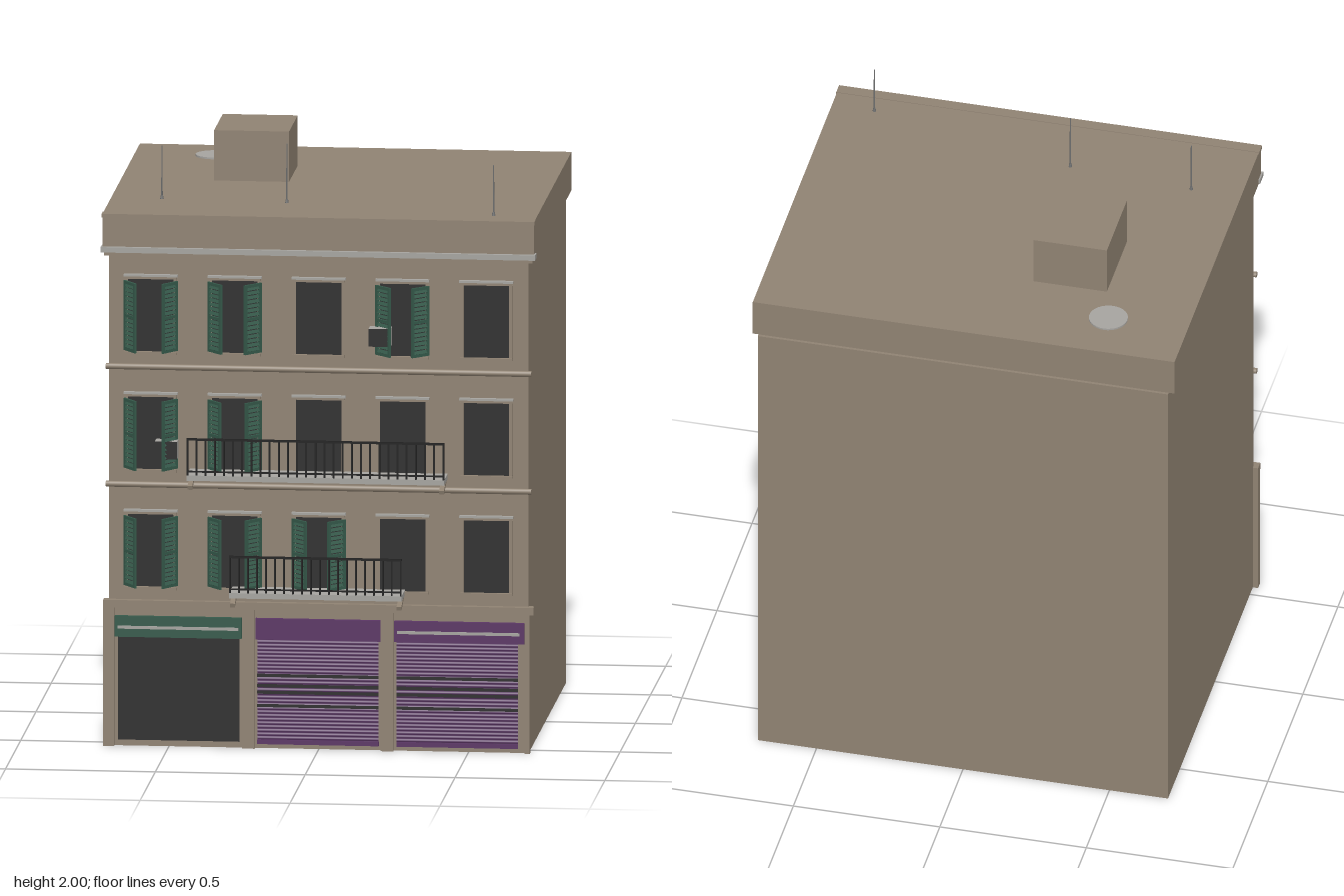
import * as THREE from 'three';

const mat = (name, color) => {
  const m = new THREE.MeshStandardMaterial({ color });
  m.name = name;
  return m;
};

export function createModel() {
  const building = new THREE.Group();
  building.name = 'apartmentBuilding';
  const wall = mat('wall plaster', 0x8f8272);
  const stone = mat('pale stone', 0xa5a39f);
  const dark = mat('dark glass', 0x2c2c2c);
  const green = mat('shutter green', 0x35594a);
  const purple = mat('roller purple', 0x5a3564);
  const iron = mat('black iron', 0x1c1c1c);
  const steel = mat('grey steel', 0x6f7070);

  const add = (parent, name, geometry, material) => {
    const m = new THREE.Mesh(geometry, material);
    m.name = name;
    parent.add(m);
    return m;
  };
  // Box given by its limits on each axis
  const box = (parent, name, material, x0, x1, y0, y1, z0, z1) => {
    const m = add(parent, name, new THREE.BoxGeometry(x1 - x0, y1 - y0, z1 - z0), material);
    m.position.set((x0 + x1) / 2, (y0 + y1) / 2, (z0 + z1) / 2);
    return m;
  };
  const group = (name, parent = building) => {
    const g = new THREE.Group();
    g.name = name;
    parent.add(g);
    return g;
  };
  const F = 0.55; // plane of the front wall

  // Main masses
  box(building, 'body', wall, -0.7, 0.7, 0, 1.67, -0.67, F);
  box(building, 'parapet', wall, -0.72, 0.72, 1.67, 1.8, -0.66, 0.57);
  box(building, 'parapetCap', wall, -0.722, 0.722, 1.79, 1.802, 0.54, 0.58);
  box(building, 'cornice', stone, -0.725, 0.725, 1.672, 1.69, 0.54, 0.585);
  box(building, 'corniceUnderside', wall, -0.715, 0.715, 1.66, 1.672, 0.54, 0.572);
  box(building, 'shopCornice', wall, -0.718, 0.718, 0.47, 0.495, 0.54, 0.572);

  // Rounded string courses between floors
  for (const y of [0.885, 1.283]) {
    const band = add(building, 'stringCourse', new THREE.CylinderGeometry(0.01, 0.01, 1.42, 10), wall);
    band.rotation.z = Math.PI / 2;
    band.position.set(0, y, F + 0.006);
  }

  // Ground floor shops
  for (const [x0, x1] of [[-0.718, -0.682], [-0.255, -0.213], [0.207, 0.25], [0.688, 0.705]])
    box(building, 'pilaster', wall, x0, x1, 0, 0.47, 0.54, 0.567);

  const shop = group('shopEntrance');
  box(shop, 'shopOpening', dark, -0.67, -0.265, 0.02, 0.37, 0.545, 0.553);
  box(shop, 'awningBox', green, -0.68, -0.257, 0.37, 0.44, 0.545, 0.567);
  box(shop, 'awningStripe', stone, -0.67, -0.267, 0.398, 0.408, 0.566, 0.57);

  const rollerShutter = (x0, x1, b0, b1, striped) => {
    const g = group('rollerShutter');
    const w = x1 - x0, h = 0.35;
    const sheet = new THREE.PlaneGeometry(w, h, 1, 112);
    const p = sheet.attributes.position;
    for (let i = 0; i < p.count; i++)
      p.setZ(i, 0.002 * Math.sin((p.getY(i) / h) * 28 * Math.PI * 2));
    sheet.computeVertexNormals();
    add(g, 'corrugatedSheet', sheet, purple).position.set((x0 + x1) / 2, 0.195, 0.555);
    box(g, 'shutterFoot', purple, x0, x1, 0.015, 0.03, 0.55, 0.561);
    box(g, 'rollerBox', purple, b0, b1, 0.37, 0.44, 0.545, 0.567);
    if (striped) box(g, 'boxStripe', stone, b0 + 0.01, b1 - 0.015, 0.398, 0.408, 0.566, 0.57);
    // See-through slots
    for (const y of [0.145, 0.19, 0.212, 0.247])
      box(g, 'shutterSlot', dark, x0, x1, y - 0.005, y + 0.005, 0.552, 0.5585);
  };
  rollerShutter(-0.205, 0.2, -0.21, 0.207, false);
  rollerShutter(0.26, 0.665, 0.253, 0.687, true);

  // One louvred leaf, hinged on its local x = 0 edge
  const leaf = (parent, x, y0, side, angle) => {
    const g = group('shutterLeaf', parent);
    const w = 0.075, h = 0.235;
    g.position.set(x, y0 + 0.005, F + 0.008);
    g.rotation.y = side < 0 ? -angle : Math.PI + angle;
    for (const sx of [0, w - 0.01]) box(g, 'stile', green, sx, sx + 0.01, 0, h, -0.004, 0.004);
    for (const sy of [0, h / 2 - 0.005, h - 0.01])
      box(g, 'rail', green, 0.01, w - 0.01, sy, sy + 0.01, -0.004, 0.004);
    for (let i = 1; i < 16; i++) {
      const slat = box(g, 'louvre', green, 0.008, w - 0.008, i * h / 16 - 0.006, i * h / 16 + 0.006, -0.001, 0.001);
      slat.rotation.x = side * 0.6;
    }
  };

  // Windows; each shuttered one has its own opening angle
  const columns = [-0.56, -0.28, 0, 0.28, 0.56];
  const rows = [
    { y: 0.54, angles: [0.95, 0.9, 0.8, 0, 0] },
    { y: 0.937, angles: [0.95, 0.9, 0, 0, 0] },
    { y: 1.335, angles: [0.95, 0.85, 0, 0.8, 0] },
  ];
  for (const { y, angles } of rows) columns.forEach((x, c) => {
    const g = group('window');
    const t = y + 0.245;
    box(g, 'glass', dark, x - 0.077, x + 0.077, y, t, 0.545, 0.553);
    for (const s of [-1, 1])
      box(g, 'jamb', wall, x + s * 0.081 - 0.005, x + s * 0.081 + 0.005, y, t, 0.545, 0.558);
    box(g, 'lintel', wall, x - 0.085, x + 0.085, t, t + 0.009, 0.545, 0.561);
    box(g, 'lintelCap', stone, x - 0.09, x + 0.09, t + 0.009, t + 0.016, 0.545, 0.567);
    box(g, 'sill', wall, x - 0.087, x + 0.087, y - 0.01, y, 0.545, 0.566);
    if (angles[c]) for (const s of [-1, 1]) leaf(g, x + s * 0.088, y, s, angles[c]);
  });

  // Balconies
  const balcony = (half, y, bars) => {
    const g = group('balcony');
    box(g, 'slab', stone, -half, half, y - 0.018, y, 0.545, 0.67);
    for (const s of [-1, 1]) {
      const b = box(g, 'bracket', wall, s * (half - 0.01) - 0.008, s * (half - 0.01) + 0.008,
        y - 0.037, y - 0.023, 0.56, 0.655);
      b.rotation.x = 0.33;
    }
    box(g, 'topRail', iron, -half, half, y + 0.118, y + 0.125, 0.662, 0.67);
    box(g, 'bottomRail', iron, -half, half, y + 0.01, y + 0.015, 0.663, 0.669);
    for (let i = 0; i <= bars; i++) {
      const x = -half + 0.003 + (i / bars) * (2 * half - 0.006);
      box(g, 'baluster', iron, x - 0.003, x + 0.003, y, y + 0.12, 0.663, 0.669);
    }
    return g;
  };
  balcony(0.43, 0.94, 28);
  balcony(0.288, 0.545, 19);

  // Air conditioners
  for (const [x, y] of [[0.208, 1.405], [-0.505, 1.01]]) {
    const g = group('airConditioner');
    box(g, 'unitCase', stone, x - 0.037, x + 0.037, y - 0.03, y + 0.03, 0.555, 0.603);
    box(g, 'unitGrille', dark, x - 0.037, x + 0.037, y - 0.03, y + 0.03, 0.602, 0.606);
  }

  // Roof
  box(building, 'stairHouse', wall, -0.41, -0.16, 1.8, 1.97, -0.33, -0.045);
  add(building, 'roofHatch', new THREE.CylinderGeometry(0.065, 0.065, 0.006, 32), stone)
    .position.set(-0.45, 1.803, -0.475);
  for (const [x, z, top] of [[-0.55, 0.29, 1.98], [-0.13, 0.32, 2.0], [0.575, 0.47, 1.97]]) {
    const h = top - 1.8;
    add(building, 'antenna', new THREE.CylinderGeometry(0.002, 0.003, h, 6), steel)
      .position.set(x, 1.8 + h / 2, z);
    add(building, 'antennaFoot', new THREE.CylinderGeometry(0.004, 0.006, 0.012, 8), steel)
      .position.set(x, 1.806, z);
  }
  return building;
}
